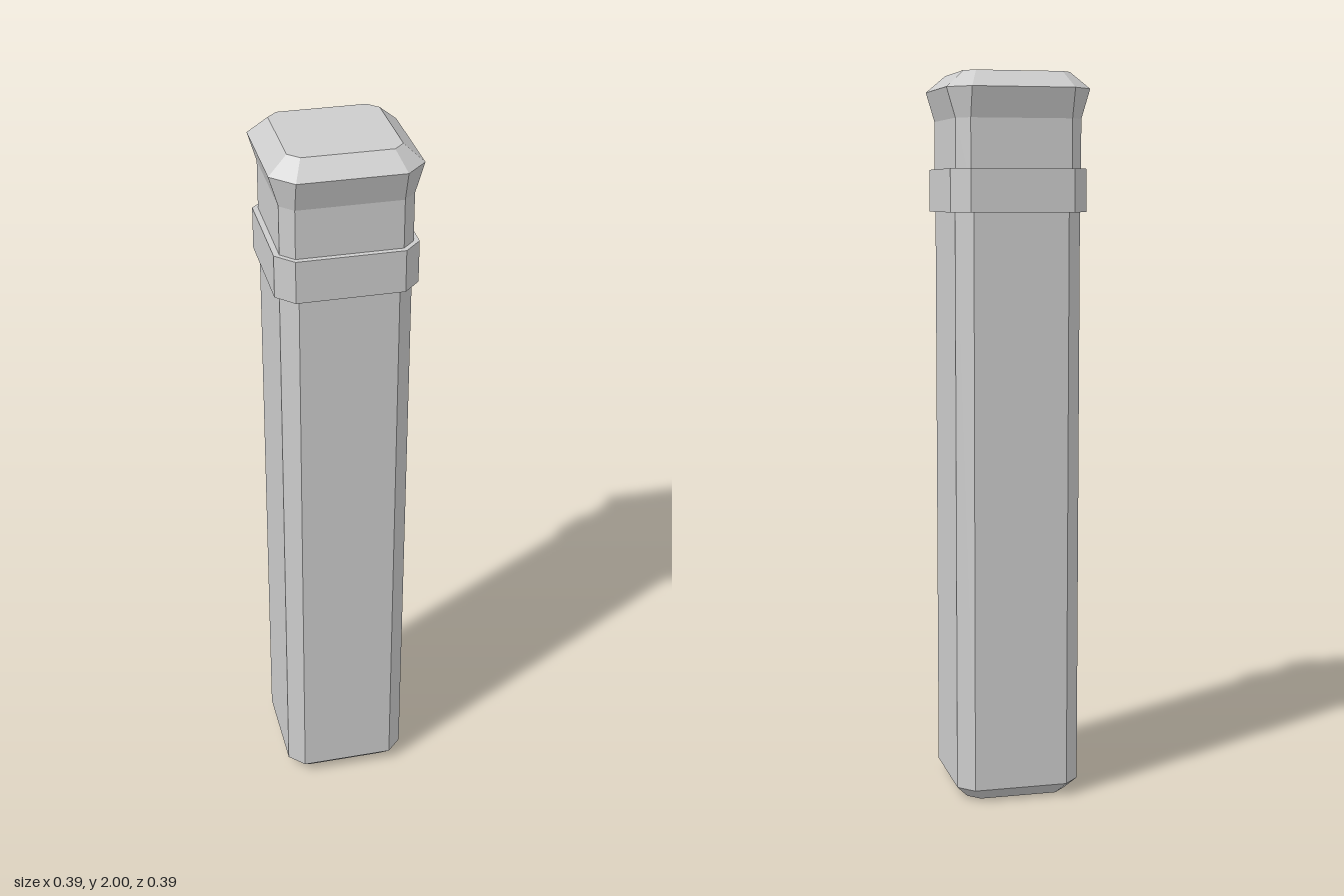
import * as THREE from 'three';

// Lofts chamfered-square rings, each given as [height, half width, half length of the flat side].
function chamferedLoft(name, rings, material) {
  const corners = rings.map(([y, h, f]) =>
    [[h, -f], [h, f], [f, h], [-f, h], [-h, f], [-h, -f], [-f, -h], [f, -h]]
      .map(([x, z]) => [x, y, z]));
  const points = [];
  const last = rings.length - 1;
  for (let i = 0; i < 8; i++) {
    const j = (i + 1) % 8;
    for (let r = 0; r < last; r++) {
      const a = corners[r][i], b = corners[r][j];
      const c = corners[r + 1][i], d = corners[r + 1][j];
      points.push(a, c, d, a, d, b);
    }
    // End caps
    points.push([0, rings[0][0], 0], corners[0][i], corners[0][j]);
    points.push([0, rings[last][0], 0], corners[last][j], corners[last][i]);
  }
  const geometry = new THREE.BufferGeometry();
  geometry.setAttribute('position', new THREE.Float32BufferAttribute(points.flat(), 3));
  geometry.computeVertexNormals();
  const mesh = new THREE.Mesh(geometry, material);
  mesh.name = name;
  return mesh;
}

export function createModel() {
  const stone = new THREE.MeshStandardMaterial({ color: 0xcccccc });
  stone.name = 'light grey stone';

  const post = new THREE.Group();
  post.name = 'post';
  post.add(
    // Long shaft with a bevelled foot
    chamferedLoft('shaft', [[0, 0.14, 0.108], [0.035, 0.173, 0.131], [1.69, 0.173, 0.131]], stone),
    // Raised collar around the shaft
    chamferedLoft('collar', [[1.627, 0.188, 0.142], [1.743, 0.188, 0.142]], stone),
    // Short neck above the collar
    chamferedLoft('neck', [[1.69, 0.173, 0.139], [1.875, 0.173, 0.139]], stone),
    // Flared cap with a bevelled top
    chamferedLoft('cap', [[1.875, 0.173, 0.139], [1.955, 0.197, 0.14], [2, 0.146, 0.118]], stone),
  );
  return post;
}
